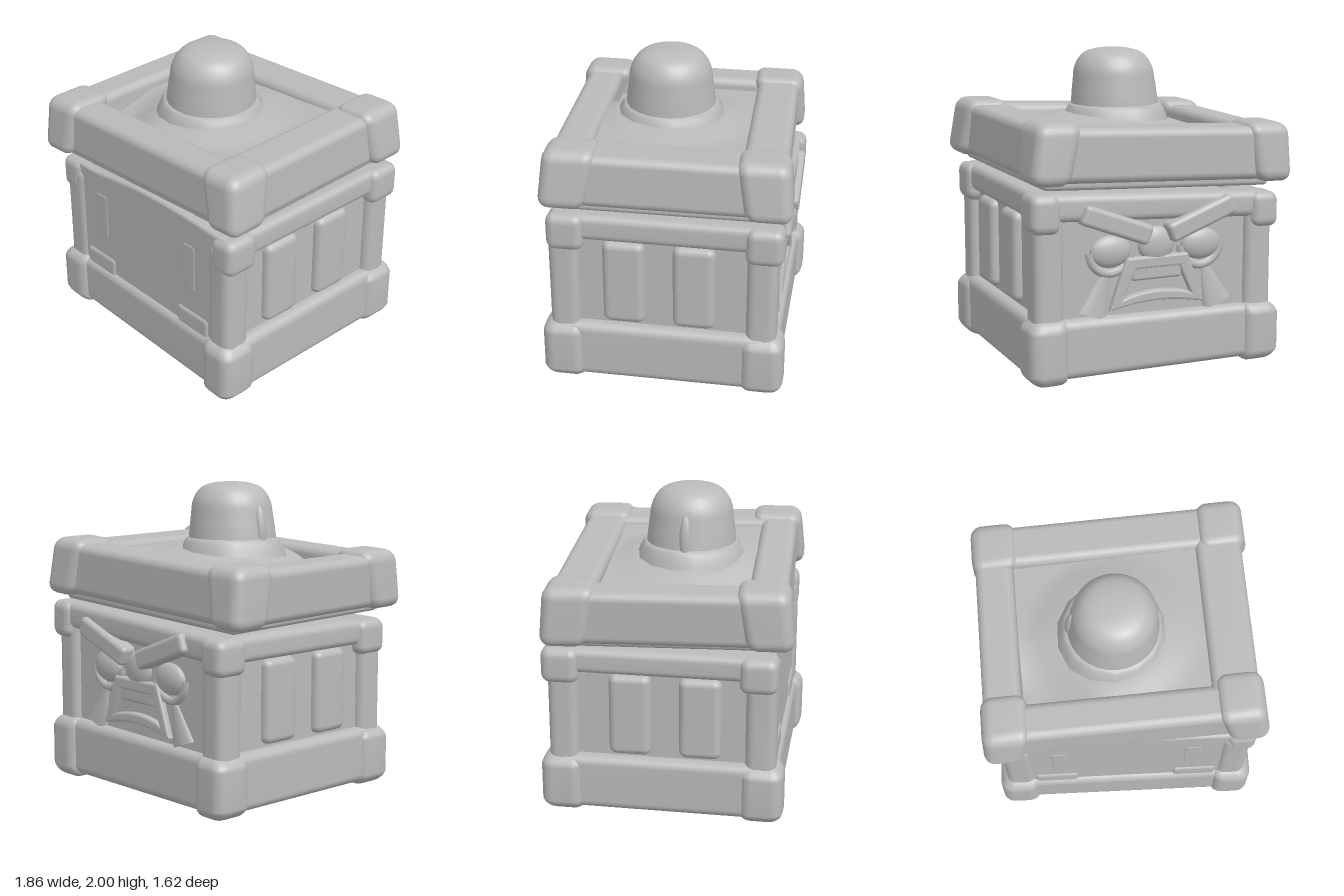
import * as THREE from 'three';
import { RoundedBoxGeometry } from 'three/addons/geometries/RoundedBoxGeometry.js';
import { mergeVertices } from 'three/addons/utils/BufferGeometryUtils.js';

const stone = new THREE.MeshStandardMaterial({ color: 0xbababa });
stone.name = 'grey';

// Move every vertex by a rule and rebuild smooth normals.
function warp(geo, rule) {
  geo.deleteAttribute('uv');
  geo.deleteAttribute('normal');
  const g = mergeVertices(geo, 1e-4);
  const p = g.attributes.position;
  const v = new THREE.Vector3();
  for (let i = 0; i < p.count; i++) {
    v.fromBufferAttribute(p, i);
    rule(v);
    p.setXYZ(i, v.x, v.y, v.z);
  }
  g.computeVertexNormals();
  return g;
}

function add(parent, name, geo) {
  const m = new THREE.Mesh(geo, stone);
  m.name = name;
  parent.add(m);
  return m;
}

// Rounded block given by its limits on each axis.
function block(parent, name, [x0, x1], [y0, y1], [z0, z1], r, rule) {
  const geo = new RoundedBoxGeometry(x1 - x0, y1 - y0, z1 - z0, 3, r);
  geo.translate((x0 + x1) / 2, (y0 + y1) / 2, (z0 + z1) / 2);
  return add(parent, name, rule ? warp(geo, rule) : geo);
}

// Range on one side of an axis: s = +1 or -1.
const side = (s, a, b) => (s > 0 ? [a, b] : [-b, -a]);

function buildBody() {
  const body = new THREE.Group();
  body.name = 'body';
  body.position.set(0.032, 0, -0.01);
  // The box leans: its top rises towards +x.
  const lean = v => { v.y += (v.y / 1.2) * 0.06 * v.x; };

  block(body, 'core', [-0.76, 0.76], [0.12, 1.13], [-0.68, 0.68], 0.04, lean);

  // Front panel, flush with its top edge, which sags towards -x
  const outline = new THREE.Shape();
  outline.moveTo(-0.74, 0.36);
  outline.lineTo(0.74, 0.36);
  outline.lineTo(0.74, 1.185);
  outline.splineThru([[0.36, 1.19], [0, 1.175], [-0.24, 1.145], [-0.5, 1.105], [-0.74, 1.095]]
    .map(([x, y]) => new THREE.Vector2(x, y)));
  outline.closePath();
  const panel = new THREE.ExtrudeGeometry(outline, {
    depth: 0.15, bevelSize: 0.02, bevelThickness: 0.02, bevelSegments: 3, curveSegments: 6,
  });
  add(body, 'frontPanel', panel).position.z = 0.535;
  // Lower front step and small chips on the panel
  for (const s of [1, -1]) {
    block(body, 'frontLedge', side(s, 0.32, 0.62), [0.36, 0.51], [0.62, 0.718], 0.03, lean);
    block(body, 'frontChip', side(s, 0.38, 0.5), [0.66, 1.0], [0.66, 0.71], 0.02, lean);
  }
  block(body, 'upperBackRail', [-0.75, 0.75], [0.99, 1.16], [-0.735, -0.52], 0.05, lean);

  for (const s of [1, -1]) {
    // Lower and upper frame rails
    block(body, 'lowerRail', [-0.75, 0.75], [0.03, 0.4], side(s, 0.48, 0.74), 0.06, lean);
    block(body, 'lowerSideRail', side(s, 0.55, 0.835), [0.03, 0.41], [-0.68, 0.68], 0.06, lean);
    block(body, 'upperSideRail', side(s, 0.6, 0.815), [0.99, 1.16], [-0.68, 0.68], 0.05, lean);

    // Vertical ribs on the sides
    for (const z of [0.245, -0.2])
      block(body, 'sideRib', side(s, 0.7, 0.815), [0.43, 0.99], [z - 0.135, z + 0.135], 0.05, lean);

    // Corner posts and corner caps
    for (const t of [1, -1]) {
      block(body, 'cornerPost', side(s, 0.62, 0.815), [0.3, 1.1], side(t, 0.53, 0.725), 0.06, lean);
      block(body, 'lowerCap', side(s, 0.6, 0.86), [0.0, 0.41], side(t, 0.5, 0.775), 0.08, v => {
        const k = 0.97 + 0.06 * Math.sin(Math.PI * Math.min(1, v.y / 0.41));
        v.x *= k;
        v.z *= 0.5 + k / 2;
        lean(v);
        v.y = Math.max(0.005, v.y);
      });
      const capZ = t > 0 ? [0.49, 0.73] : [-0.76, -0.52];
      block(body, 'upperCap', side(s, 0.65, 0.845), [0.92, 1.16], capZ, 0.06, lean);
    }
  }

  // Planks underneath
  for (let i = 0; i < 4; i++) {
    const x = -0.45 + i * 0.3;
    block(body, 'floorPlank', [x - 0.14, x + 0.14], [0.09, 0.16], [-0.52, 0.52], 0.02);
  }
  return body;
}

function buildFace() {
  const face = new THREE.Group();
  face.name = 'face';
  face.position.set(0.03, 0, -0.69);
  face.rotation.y = Math.PI;

  for (const s of [1, -1]) {
    // Slanted brow, eye and lower lid
    const brow = add(face, 'brow', new RoundedBoxGeometry(0.48, 0.13, 0.13, 3, 0.03));
    brow.position.set(s * 0.29, 0.985, 0.03);
    brow.rotation.z = s * 0.36;
    const eye = add(face, 'eye', new THREE.SphereGeometry(0.12, 20, 14));
    eye.scale.set(1.15, 0.85, 0.45);
    eye.position.set(s * 0.31, 0.81, 0.0);
    const lid = add(face, 'lowerLid', new THREE.TorusGeometry(0.14, 0.03, 8, 16, Math.PI));
    lid.rotation.z = Math.PI;
    lid.position.set(s * 0.31, 0.81, -0.005);
    // Pointed cheek fold beside the mouth
    const cheek = add(face, 'cheek', new THREE.ConeGeometry(0.1, 0.36, 20));
    cheek.scale.z = 0.35;
    cheek.position.set(s * 0.37, 0.58, 0.0);
    cheek.rotation.z = s * 0.35;
  }

  // Broad nose bridge between the brows
  const nose = add(face, 'nose', new THREE.SphereGeometry(0.13, 20, 14));
  nose.scale.set(0.95, 0.9, 0.4);
  nose.position.set(0, 0.83, 0.0);

  // Scowling mouth: a lip ring with a tooth bar inside
  const trapezoid = (Type, top, bottom, y0, y1) => {
    const p = new Type();
    p.moveTo(-bottom, y0);
    p.quadraticCurveTo(0, y0 + 0.08, bottom, y0);
    p.lineTo(top, y1);
    p.lineTo(-top, y1);
    p.closePath();
    return p;
  };
  const lips = trapezoid(THREE.Shape, 0.2, 0.31, 0.45, 0.75);
  lips.holes.push(trapezoid(THREE.Path, 0.16, 0.25, 0.49, 0.7));
  const lipGeo = new THREE.ExtrudeGeometry(lips, {
    depth: 0.035, bevelSize: 0.015, bevelThickness: 0.015, bevelSegments: 2, curveSegments: 8,
  });
  add(face, 'lips', lipGeo).position.z = -0.01;
  block(face, 'teeth', [-0.17, 0.17], [0.61, 0.71], [-0.02, 0.03], 0.02);
  return face;
}

function buildLid() {
  const lid = new THREE.Group();
  lid.name = 'lid';
  lid.position.set(-0.003, 1.4, 0);
  lid.rotation.set(-0.015, 0.04, 0.053);

  block(lid, 'innerLip', [-0.78, 0.8], [-0.215, -0.06], [-0.68, 0.68], 0.03);

  // Top panel: swells up to the knob and dips at the front corner on -x
  const sheet = new THREE.PlaneGeometry(1.33, 1.13, 24, 24);
  sheet.rotateX(-Math.PI / 2);
  const panel = warp(sheet, v => {
    const knobDistance = Math.hypot(v.x + 0.02, v.z - 0.075);
    const swell = 1 - THREE.MathUtils.smoothstep(knobDistance, 0.3, 0.58);
    const dip = 1 - THREE.MathUtils.smoothstep(Math.hypot(v.x + 0.6, v.z - 0.5), 0.1, 0.5);
    v.y = 0.11 + 0.03 * v.x + 0.05 * swell - 0.08 * dip;
  });
  add(lid, 'topPanel', panel);

  for (const s of [1, -1]) {
    // Frame bars
    const barZ = s > 0 ? [0.49, 0.73] : [-0.73, -0.45];
    block(lid, 'lidBar', [-0.76, 0.76], [-0.17, 0.17], barZ, 0.055);
    const barX = s > 0 ? [0.56, 0.855] : [-0.865, -0.62];
    block(lid, 'lidSideBar', barX, [-0.17, 0.17], [-0.66, 0.66], 0.055);

    // Corner caps: inner faces slant more than the outer ones
    const slant = (a, sign, mid, y) => a - sign * (sign * a > mid ? 0.09 : 0.2) * (y + 0.17);
    for (const t of [1, -1])
      block(lid, 'lidCap', side(s, 0.65, 0.91), [-0.18, 0.2], side(t, 0.49, 0.785), 0.075, v => {
        v.x = slant(v.x, s, 0.78, v.y);
        v.z = slant(v.z, t, 0.637, v.y);
      });
  }
  return lid;
}

function buildKnob() {
  const knob = new THREE.Group();
  knob.name = 'knob';
  knob.position.set(-0.025, 0, 0.07);

  // Domed grip
  const profile = new THREE.SplineCurve([
    [0.295, 1.55], [0.287, 1.66], [0.272, 1.78], [0.255, 1.88], [0.2, 1.96], [0.11, 1.993], [0, 2],
  ].map(([r, y]) => new THREE.Vector2(r, y)));
  const points = profile.getPoints(24);
  points[points.length - 1].x = 0;
  const grip = new THREE.LatheGeometry(points, 32);
  add(knob, 'grip', warp(grip, v => { v.x += (v.y - 1.55) * 0.04; }));

  // Collar around the foot of the grip
  const collar = [[0.37, 1.48], [0.345, 1.56], [0.32, 1.615], [0.3, 1.635], [0.26, 1.64]]
    .map(([r, y]) => new THREE.Vector2(r, y));
  add(knob, 'collar', new THREE.LatheGeometry(collar, 14));

  // Small drip running down one side
  const drip = add(knob, 'drip', new THREE.SphereGeometry(0.04, 12, 10));
  drip.scale.set(0.9, 3.6, 1);
  drip.position.set(-0.262, 1.71, 0);
  drip.rotation.z = -0.1;
  return knob;
}

export function createModel() {
  const model = new THREE.Group();
  model.name = 'chest';
  model.add(buildBody(), buildFace(), buildLid(), buildKnob());
  return model;
}
